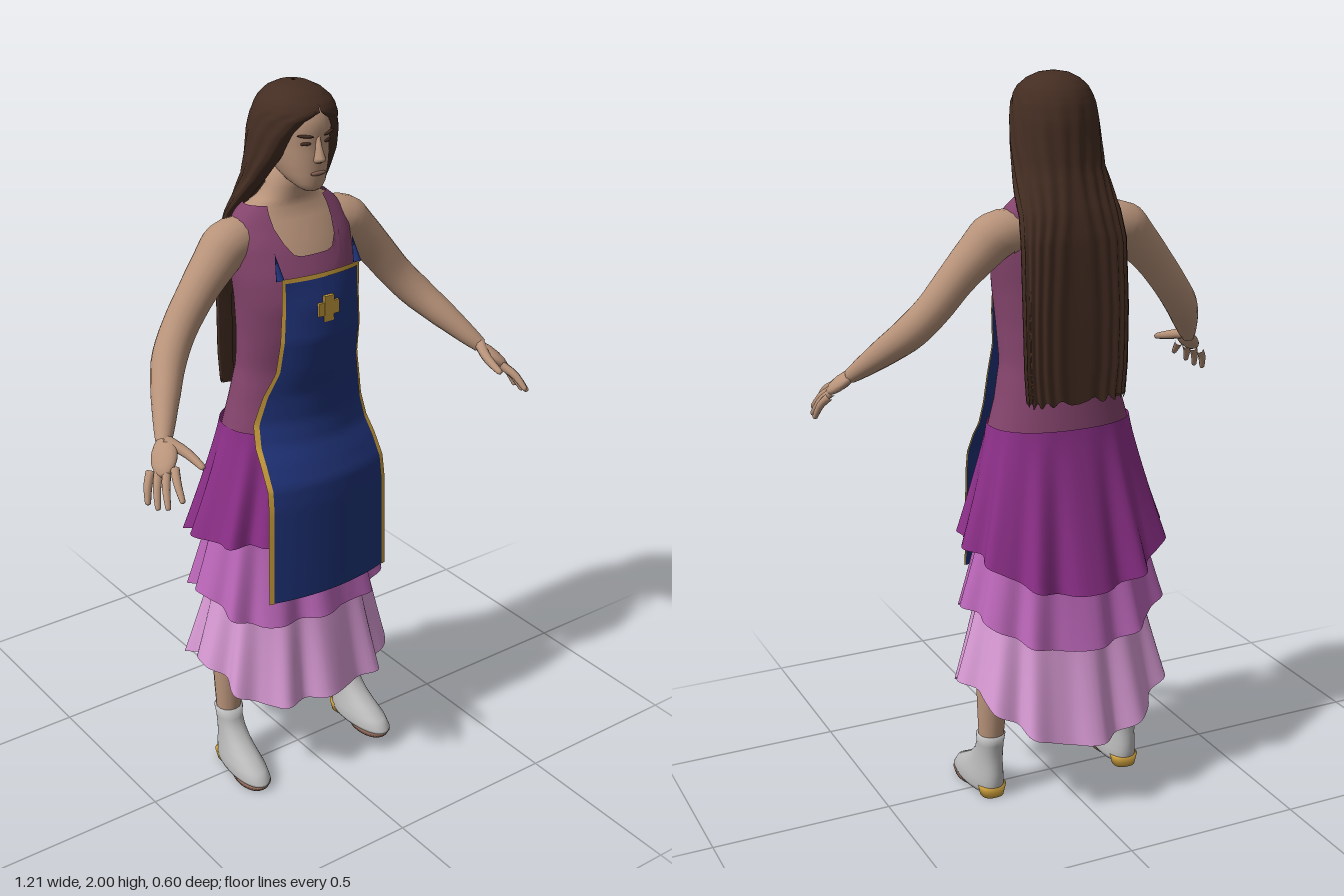
import * as THREE from 'three';
import { mergeVertices } from 'three/addons/utils/BufferGeometryUtils.js';

const mat = (name, color, double) => new THREE.MeshStandardMaterial({ name, color, side: double ? THREE.DoubleSide : THREE.FrontSide });
const { lerp, smoothstep } = THREE.MathUtils;
const V = (x, y, z) => new THREE.Vector3(x, y, z);
const bend = (s, e) => Math.sign(s) * Math.abs(s) ** e;

// Smooth surface from a rule f(u, v) -> [x, y, z]
function grid(f, nu, nv) {
  const p = [], idx = [];
  for (let j = 0; j <= nv; j++) for (let i = 0; i <= nu; i++) p.push(...f(i / nu, j / nv));
  for (let j = 0; j < nv; j++) for (let i = 0; i < nu; i++) {
    const a = j * (nu + 1) + i, b = a + nu + 1;
    idx.push(a, a + 1, b + 1, a, b + 1, b);
  }
  let g = new THREE.BufferGeometry();
  g.setAttribute('position', new THREE.Float32BufferAttribute(p, 3));
  g.setIndex(idx);
  g = mergeVertices(g, 1e-5);
  g.computeVertexNormals();
  return g;
}

// Interpolated row of a profile table whose first column is y
function rowAt(rows, y) {
  const up = rows[0][0] < rows[rows.length - 1][0] ? 1 : -1;
  let i = 0;
  while (i < rows.length - 2 && (y - rows[i + 1][0]) * up > 0) i++;
  const a = rows[i], b = rows[i + 1];
  const t = Math.min(1, Math.max(0, (y - a[0]) / (b[0] - a[0])));
  return a.map((n, k) => lerp(n, b[k], t));
}

// Point on an oval section [y, half width, front z, back z]; angle 0 faces the front
function oval([y, rx, zf, zb], a, e = 1, extra = 0) {
  const s = bend(Math.sin(a), e), c = bend(Math.cos(a), e);
  return [s * (rx + extra), y, (zf + zb) / 2 + c * ((zf - zb) / 2 + extra)];
}

// Closed stack of ovals, listed from the bottom up
function stack(rows, e = 1, n = 32) {
  const mid = ([y, , f, b]) => [y, 0, (f + b) / 2, (f + b) / 2];
  const all = [mid(rows[0]), ...rows, mid(rows[rows.length - 1])];
  return grid((u, v) => oval(all[Math.round(v * (all.length - 1))], u * Math.PI * 2, e), n, all.length - 1);
}

// Round limb through points [x, y, z, radius]
function limb(pts, nv = 16, nu = 14) {
  const curve = new THREE.CatmullRomCurve3(pts.map(p => V(p[0], p[1], p[2])));
  const fr = curve.computeFrenetFrames(nv);
  return grid((u, v) => {
    const j = Math.round(v * nv), t = v * (pts.length - 1), i = Math.min(pts.length - 2, Math.floor(t));
    const r = lerp(pts[i][3], pts[i + 1][3], t - i), a = u * Math.PI * 2;
    return curve.getPoint(v).addScaledVector(fr.normals[j], Math.cos(a) * r)
      .addScaledVector(fr.binormals[j], Math.sin(a) * r).toArray();
  }, nu, nv);
}

export function createModel() {
  const root = new THREE.Group();
  root.name = 'womanInApron';
  const skin = mat('skin', 0xb8937a), hair = mat('hair', 0x442d22, true), plum = mat('plumCloth', 0x84446c, true);
  const purple = mat('purpleCloth', 0x8c2f88, true), orchid = mat('orchidCloth', 0xbb66b8, true), pink = mat('pinkCloth', 0xd799d3, true);
  const blue = mat('blueCloth', 0x1f3278, true), gold = mat('gold', 0xc89c3c, true);
  const grey = mat('greyLeather', 0xbcbcbc), brown = mat('brown', 0x8a6656);
  const add = (name, geo, m, x = 0, y = 0, z = 0) => {
    const mesh = new THREE.Mesh(geo, m);
    mesh.name = name;
    mesh.position.set(x, y, z);
    root.add(mesh);
    return mesh;
  };

  // Neck, upper chest and head
  add('chestAndNeck', stack([[1.45, .16, .105, -.14], [1.52, .168, .09, -.14], [1.6, .17, .055, -.135], [1.65, .155, .018, -.13],
    [1.68, .125, .004, -.12], [1.70, .085, .002, -.11], [1.73, .06, .01, -.1], [1.79, .056, .02, -.1]]), skin);
  add('head', stack([[1.737, .02, .074, .04], [1.743, .03, .082, .02], [1.758, .045, .088, -.02], [1.78, .057, .089, -.06], [1.81, .067, .09, -.09],
    [1.84, .073, .089, -.105], [1.865, .076, .087, -.11], [1.89, .078, .091, -.11], [1.92, .077, .087, -.11], [1.95, .066, .068, -.1],
    [1.975, .04, .03, -.07]], .92), skin);
  add('nose', stack([[1.814, .012, .098, .07], [1.82, .016, .11, .07], [1.828, .014, .112, .07], [1.85, .009, .101, .07], [1.88, .007, .09, .07]], 1, 12), skin);
  const ball = new THREE.SphereGeometry(1, 14, 8);
  add('mouth', ball, brown, 0, 1.786, .088).scale.set(.024, .006, .006);
  for (const s of [-1, 1]) {
    const eye = add('eye', ball, hair, s * .033, 1.864, .079);
    eye.scale.set(.014, .005, .005);
    eye.rotation.y = s * .35;
    const brow = add('eyebrow', ball, hair, s * .036, 1.884, .082);
    brow.scale.set(.022, .004, .005);
    brow.rotation.set(0, s * .4, s * .12);
  }

  // Hair: y, half width, front z, back z, opening half angle, squareness
  const locks = [[2, .004, -.015, -.025, 0, 1], [1.994, .04, .025, -.065, 0, 1], [1.98, .068, .06, -.095, 0, 1], [1.96, .09, .085, -.115, 0, 1],
    [1.942, .1, .096, -.125, .02, 1], [1.92, .108, .098, -.133, .5, 1], [1.88, .115, .092, -.14, .75, 1], [1.82, .12, .075, -.142, .95, 1],
    [1.76, .124, .045, -.146, 1.2, 1], [1.7, .135, .0, -.158, 1.45, .9], [1.65, .142, -.05, -.17, 1.57, .8], [1.58, .148, -.085, -.18, 1.57, .65],
    [1.4, .15, -.11, -.183, 1.57, .55], [1.25, .148, -.12, -.182, 1.57, .55], [1.16, .142, -.125, -.18, 1.57, .6]];
  add('longHair', grid((u, v) => {
    const n = locks.length - 1, i = Math.min(n - 1, Math.floor(v * n)), t = v * n - i;
    const r = locks[i].map((k, q) => lerp(k, locks[i + 1][q], t));
    const a = lerp(r[4], Math.PI * 2 - r[4], u);
    const p = oval(r, a, r[5], .0025 * Math.sin(u * 75) * smoothstep(v, .15, .6));
    // strands curl in beside the face and end unevenly
    if ((u === 0 || u === 1) && v > .3) { p[0] *= .72; p[2] -= .005; }
    if (v === 1) p[1] += .008 * Math.sin(u * 61);
    return p;
  }, 64, 42), hair);

  // Sleeveless bodice with a scooped neckline
  const body = [[1.06, .205, .08, -.175], [1.15, .18, .072, -.162], [1.25, .16, .075, -.147], [1.35, .162, .1, -.147], [1.45, .17, .115, -.15],
    [1.52, .178, .1, -.15], [1.6, .18, .063, -.145], [1.65, .166, .026, -.14], [1.68, .138, .012, -.13], [1.695, .115, .004, -.122]];
  add('bodice', grid((u, v) => {
    const a = u * Math.PI * 2, off = Math.min(a, Math.PI * 2 - a);
    const top = off < 1.6 ? 1.57 + .12 * smoothstep(off, .27, .8) : 1.69 - .06 * smoothstep(off, 2.3, 2.9);
    return oval(rowAt(body, lerp(1.06, top, v)), a);
  }, 56, 28), plum);

  // Three flared skirt tiers with folds and dipping hems
  function tier(name, m, top, hem, [side, front, back], amp, phase) {
    add(name, grid((u, v) => {
      const a = u * Math.PI * 2, c = Math.cos(a);
      const low = c > 0 ? lerp(side, front, smoothstep(c, 0, .85)) : lerp(side, back, Math.abs(c) ** 1.8);
      const t = v ** 1.15, r = top.map((n, k) => lerp(n, hem[k], t));
      r[0] = lerp(top[0], low, v);
      const fold = amp * v * (Math.cos(12 * a) + .35 * Math.cos(19 * a + phase));
      return oval(r, a, .88, fold);
    }, 144, 16), m);
  }
  tier('upperSkirt', purple, [1.085, .2, .082, -.178], [0, .285, .125, -.27], [.765, .77, .65], .013, 0);
  tier('middleSkirt', orchid, [.88, .21, .08, -.19], [0, .285, .138, -.257], [.59, .52, .485], .011, 1);
  tier('lowerSkirt', pink, [.68, .215, .1, -.19], [0, .288, .178, -.283], [.365, .275, .215], .014, 2);

  // Apron: y, half width, centre z, edge z
  const apronRows = [[1.53, .12, .115, .1], [1.45, .12, .135, .1], [1.36, .125, .14, .1], [1.27, .13, .125, .085], [1.2, .155, .108, .062],
    [1.12, .175, .107, .047], [1.06, .181, .12, .065], [1.02, .185, .14, .095], [.96, .188, .166, .13], [.9, .19, .17, .138], [.62, .195, .172, .142]];
  const apronAt = (u, y, lift = 0) => {
    const [, w, zc, ze] = rowAt(apronRows, y);
    return [u * w, y, lerp(zc, ze, u * u) + lift];
  };
  add('apron', grid((u, v) => apronAt(u * 2 - 1, lerp(.62, 1.53, v)), 20, 64), blue);
  add('apronTopTrim', grid((u, v) => apronAt(u * 2 - 1, lerp(1.521, 1.533, v), .003), 20, 1), gold);
  for (const s of [-1, 1]) {
    add('apronSideTrim', grid((u, v) => apronAt(s * lerp(.945, 1.02, u), lerp(.62, 1.53, v), .003), 1, 64), gold);
    const tie = add('apronTie', new THREE.ConeGeometry(.011, .07, 8), blue, s * .122, 1.56, .082);
    tie.rotation.x = -.35;
  }
  // Plain cross ornament
  add('ornamentBar', new THREE.BoxGeometry(.064, .036, .009), gold, 0, 1.44, .134);
  add('ornamentPost', new THREE.BoxGeometry(.03, .07, .009), gold, 0, 1.44, .1345);

  for (const s of [-1, 1]) {
    const side = pts => pts.map(([x, y, z, r]) => [x * s, y, z, r]);

    // Arm and hand
    add('arm', limb(side([[.13, 1.6, -.06, .06], [.18, 1.595, -.056, .066], [.23, 1.55, -.05, .058], [.29, 1.485, -.042, .05], [.35, 1.41, -.03, .047],
      [.4, 1.35, .0, .046], [.45, 1.29, .06, .038], [.497, 1.232, .125, .026], [.515, 1.21, .15, .02]]), 28, 18), skin);
    const along = V(s * .065, -.077, .095).normalize();
    const across = V(s * .04, -.02, -.055);
    across.addScaledVector(along, -across.dot(along)).normalize();
    const palm = add('palm', ball, skin, s * .531, 1.189, .178);
    palm.quaternion.setFromRotationMatrix(new THREE.Matrix4().makeBasis(along, across, along.clone().cross(across)));
    palm.scale.set(.06, .036, .018);
    const tips = [[.555, 1.12, .298], [.583, 1.1, .275], [.594, 1.09, .245], [.6, 1.09, .208]];
    tips.forEach(([x, y, z], i) => {
      const k = i / 3, b = [lerp(.53, .568, k), lerp(1.172, 1.155, k), lerp(.225, .172, k)];
      const m = [(b[0] + x) / 2 + .004, (b[1] + y) / 2 + .006, (b[2] + z) / 2];
      add('finger', limb(side([[...b, .012], [...m, .011], [x, y, z, .007], [x + .001, y - .002, z + .002, .001]]), 8, 8), skin);
    });
    add('thumb', limb(side([[.51, 1.215, .155, .016], [.488, 1.2, .21, .013], [.48, 1.182, .275, .008], [.48, 1.181, .279, .001]]), 8, 8), skin);

    // Leg
    add('leg', limb(side([[.11, .95, -.05, .08], [.15, .7, -.05, .072], [.193, .46, -.053, .048], [.205, .32, -.056, .045], [.21, .16, -.053, .034]])), skin);

    // Heeled ankle boot
    const boot = new THREE.Group();
    boot.name = 'boot';
    boot.position.x = s * .213;
    boot.rotation.y = s * .05;
    const parts = [
      ['bootUpper', stack([[.012, .045, .142, -.082], [.025, .05, .146, -.088], [.05, .047, .125, -.09], [.075, .042, .08, -.09], [.1, .038, .04, -.087],
        [.13, .036, .008, -.086], [.16, .036, -.008, -.089], [.19, .04, -.012, -.093]], .9), grey],
      ['sole', stack([[0, .042, .135, .0], [.016, .047, .144, -.015]], .9), brown],
      ['heel', stack([[0, .032, -.025, -.085], [.032, .04, -.018, -.09]], .8), gold],
    ];
    for (const [name, geo, m] of parts) {
      const mesh = new THREE.Mesh(geo, m);
      mesh.name = name;
      boot.add(mesh);
    }
    root.add(boot);
  }
  return root;
}
